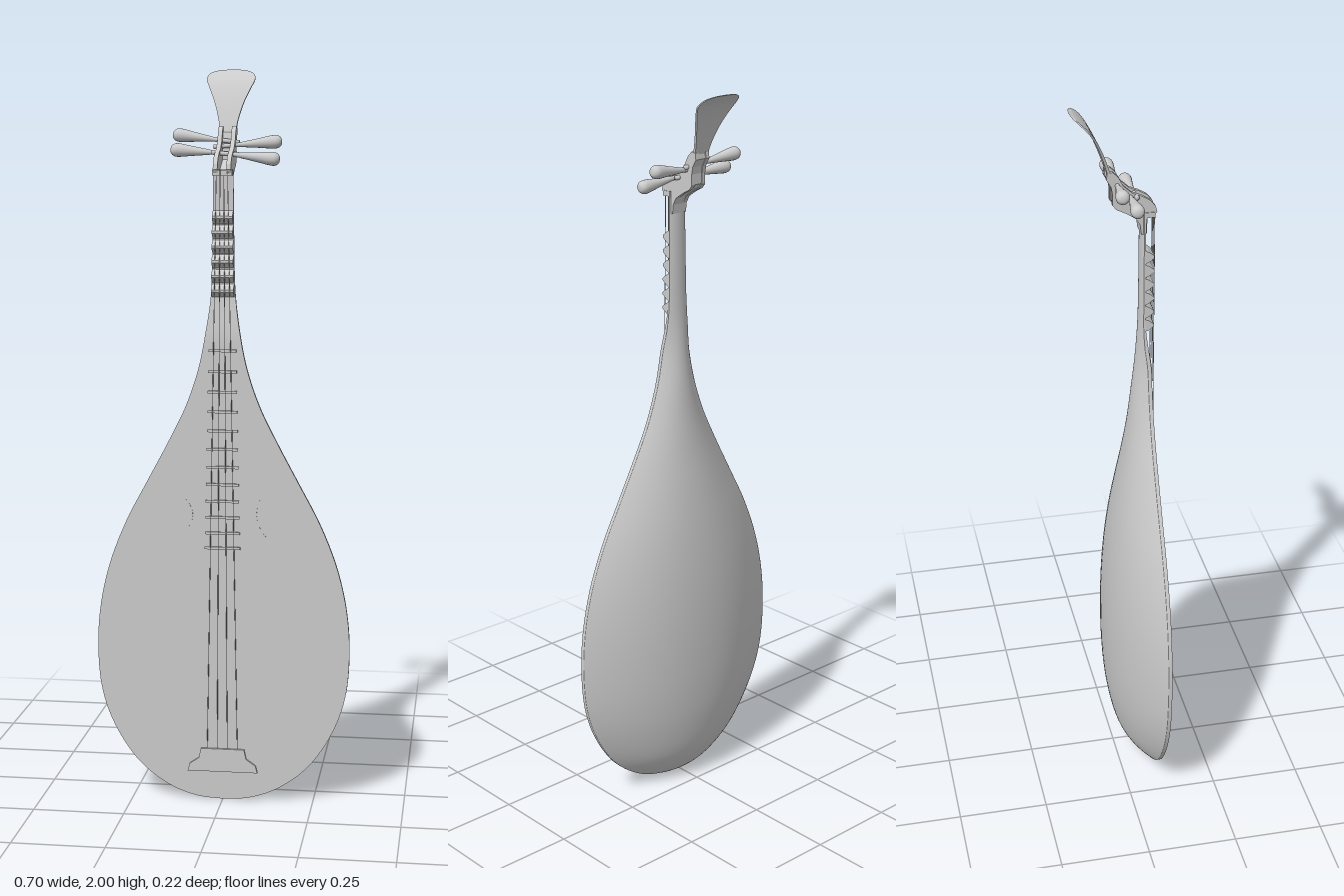
import * as THREE from 'three';
import { toCreasedNormals } from 'three/addons/utils/BufferGeometryUtils.js';

const mat = new THREE.MeshStandardMaterial({ color: 0xcccccc, side: THREE.DoubleSide });
const FACE = 0.095; // z of the soundboard

function add(parent, name, geometry) {
  const mesh = new THREE.Mesh(geometry, mat);
  mesh.name = name;
  parent.add(mesh);
  return mesh;
}

// Skin a list of equally long rings of [x, y, z] points
function loft(rings) {
  const n = rings[0].length, index = [];
  for (let i = 0; i < rings.length - 1; i++) {
    for (let j = 0; j < n - 1; j++) {
      const a = i * n + j, b = a + 1, c = a + n, d = c + 1;
      index.push(a, c, b, b, c, d);
    }
  }
  const g = new THREE.BufferGeometry();
  g.setAttribute('position', new THREE.Float32BufferAttribute(rings.flat(2), 3));
  g.setIndex(index);
  g.computeVertexNormals();
  return g;
}

// Extrude a side profile of [z, y] points across x, centred on x = 0
function sideProfile(points, width) {
  const shape = new THREE.Shape(points.map(p => new THREE.Vector2(...p)));
  return new THREE.ExtrudeGeometry(shape, { depth: width, bevelEnabled: false })
    .translate(0, 0, -width / 2).rotateY(-Math.PI / 2);
}

function spline(points) {
  return new THREE.CatmullRomCurve3(points.map(p => new THREE.Vector3(...p)));
}

// Front of the body: flat, then stepping back to the slim neck
function frontZ(y) {
  return FACE - 0.014 * THREE.MathUtils.smoothstep(y, 1.27, 1.42);
}

function buildBody(group) {
  // half width, height, z of the back
  const outline = spline([
    [0, 0, 0.088], [0.07, 0.006, 0.07], [0.15, 0.035, 0.04], [0.235, 0.1, 0.007], [0.302, 0.2, -0.014],
    [0.337, 0.3, -0.023], [0.348, 0.42, -0.026], [0.34, 0.54, -0.024], [0.313, 0.66, -0.017],
    [0.266, 0.78, -0.005], [0.208, 0.89, 0.01], [0.149, 1, 0.027], [0.1, 1.1, 0.04], [0.066, 1.2, 0.05],
    [0.046, 1.3, 0.06], [0.033, 1.4, 0.067], [0.029, 1.55, 0.069], [0.027, 1.73, 0.069],
  ]).getPoints(110);
  const back = [], front = [], edge = [], inlay = [];
  for (const { x: w, y, z: zb } of outline) {
    const zf = frontZ(y), rim = zf - Math.min(0.01, (zf - zb) * 0.4), ring = [[-w, y, zf]];
    for (let k = -20; k <= 20; k++) {
      const t = Math.sin(k / 20 * Math.PI / 2);
      ring.push([w * t, y, zb + (rim - zb) * Math.abs(t) ** 2.1]);
    }
    ring.push([w, y, zf]);
    back.push(ring);
    front.push([[w, y, zf], [-w, y, zf]]);
    if (y > 0.012 && y < 1.27) {
      const i = Math.max(w - 0.012, 0);
      inlay.push([[i, y, zf + 0.001], [-i, y, zf + 0.001]]);
    }
  }
  add(group, 'bodyBack', loft(back));
  add(group, 'bodyFront', loft(front));
  add(group, 'soundboard', loft(inlay));
}

// Crescent sound hole, bulging towards the middle
function buildSoundHoles(group) {
  for (const s of [-1, 1]) {
    const shape = new THREE.Shape();
    shape.moveTo(s * 0.102, 0.845);
    shape.quadraticCurveTo(s * 0.05, 0.79, s * 0.13, 0.733);
    shape.quadraticCurveTo(s * 0.075, 0.785, s * 0.102, 0.845);
    const hole = add(group, 'soundHole', new THREE.ExtrudeGeometry(shape, { depth: 0.002, bevelEnabled: false }));
    hole.position.z = FACE;
  }
}

function buildFrets(group) {
  // ridged frets on the neck
  for (let i = 0; i < 6; i++) {
    const y = 1.41 + i * 0.039, z = frontZ(y) - 0.003;
    const ridge = [[z, y - 0.019], [0.09, y - 0.014], [0.104, y - 0.003], [0.104, y + 0.003], [0.09, y + 0.014], [z, y + 0.019]];
    add(group, 'neckFret', sideProfile(ridge, 0.06 - i * 0.001));
  }
  // thin bars on the soundboard, closer together towards the bridge
  for (let i = 0, y = 1.25; i < 12; i++, y -= 0.058 - i * 0.0015) {
    const bar = add(group, 'bodyFret', new THREE.BoxGeometry(0.075 + i * 0.002, 0.007, 0.006));
    bar.position.set(0, y, FACE + 0.003);
  }
}

function buildBridgeAndStrings(group) {
  const shape = new THREE.Shape([[-0.097, 0.08], [0.097, 0.08], [0.092, 0.1], [0.066, 0.118], [0.06, 0.145],
    [-0.06, 0.145], [-0.066, 0.118], [-0.092, 0.1]].map(p => new THREE.Vector2(...p)));
  const bridge = add(group, 'bridge', new THREE.ExtrudeGeometry(shape, { depth: 0.008, bevelEnabled: false }));
  bridge.position.z = FACE;
  const nut = add(group, 'nut', new THREE.BoxGeometry(0.052, 0.014, 0.03));
  nut.position.set(0, 1.722, 0.09);
  for (let i = -1.5; i <= 1.5; i++) {
    const path = new THREE.LineCurve3(new THREE.Vector3(i * 0.028, 0.135, 0.104), new THREE.Vector3(i * 0.01, 1.728, 0.106));
    add(group, 'string', new THREE.TubeGeometry(path, 1, 0.001, 5));
  }
}

function buildPegbox(group) {
  // scrolled cheeks with a slot between them
  const cheek = [[0.069, 1.67], [0.083, 1.67], [0.085, 1.72], [0.103, 1.718], [0.11, 1.73], [0.106, 1.745],
    [0.092, 1.762], [0.07, 1.775], [0.045, 1.785], [0.022, 1.806], [0.008, 1.832], [-0.006, 1.845], [-0.02, 1.842],
    [-0.022, 1.825], [-0.01, 1.805], [-0.006, 1.785], [-0.006, 1.755], [0.004, 1.743], [0.03, 1.73], [0.055, 1.714], [0.066, 1.695]];
  for (const s of [-1, 1]) add(group, 'pegboxCheek', sideProfile(cheek, 0.012)).position.x = s * 0.018;
  const floor = [[0.069, 1.67], [0.083, 1.67], [0.083, 1.715], [0.06, 1.728], [0.035, 1.742], [0.006, 1.757],
    [0.004, 1.79], [-0.005, 1.83], [-0.018, 1.84], [-0.02, 1.825], [-0.008, 1.805], [-0.004, 1.785],
    [-0.004, 1.757], [0.006, 1.745], [0.03, 1.732], [0.055, 1.716], [0.066, 1.695]];
  add(group, 'pegboxFloor', sideProfile(floor, 0.03));
}

function buildPegs(group) {
  const profile = new THREE.SplineCurve([[0.006, -0.035], [0.006, 0.03], [0.008, 0.05], [0.013, 0.09], [0.0175, 0.122],
    [0.017, 0.138], [0.01, 0.147], [0, 0.149]].map(p => new THREE.Vector2(...p))).getPoints(32);
  profile.unshift(new THREE.Vector2(0, -0.035));
  profile.forEach(p => { p.x = Math.max(p.x, 0); });
  // side, height and z at the middle, then their change at the outer end
  for (const [s, y, z, dy, dz] of [
    [-1, 1.806, 0.008, 0.018, -0.012], [-1, 1.773, 0.042, 0.01, -0.008],
    [1, 1.793, 0.015, 0.012, -0.006], [1, 1.772, 0.056, -0.016, 0.003],
  ]) {
    const peg = add(group, 'tuningPeg', new THREE.LatheGeometry(profile, 20));
    const direction = new THREE.Vector3(s * 0.148, dy, dz).normalize();
    peg.quaternion.setFromUnitVectors(new THREE.Vector3(0, 1, 0), direction);
    peg.position.set(0, y, z);
  }
}

// Thin fan-shaped head curling backwards
function buildHead(group) {
  const path = spline([[0.022, 1.825, -0.01], [0.026, 1.86, -0.021], [0.04, 1.91, -0.04], [0.057, 1.95, -0.06],
    [0.066, 1.973, -0.076], [0.06, 1.988, -0.092], [0.038, 1.997, -0.105], [0, 2, -0.111]]).getPoints(40);
  const rings = path.map(({ x: w, y, z }, i) => {
    const t = Math.max(0.004 * (1 - i / 60), 0.0015), ring = [];
    for (let k = 0; k <= 8; k++) ring.push([w * (k / 4 - 1), y - t * 0.4, z - t]);
    for (let k = 8; k >= 0; k--) ring.push([w * (k / 4 - 1), y, z + t]);
    ring.push(ring[0]);
    return ring;
  });
  add(group, 'head', toCreasedNormals(loft(rings), 0.8));
}

export function createModel() {
  const group = new THREE.Group();
  group.name = 'lute';
  for (const build of [buildBody, buildSoundHoles, buildFrets, buildBridgeAndStrings, buildPegbox, buildPegs, buildHead]) build(group);
  return group;
}
